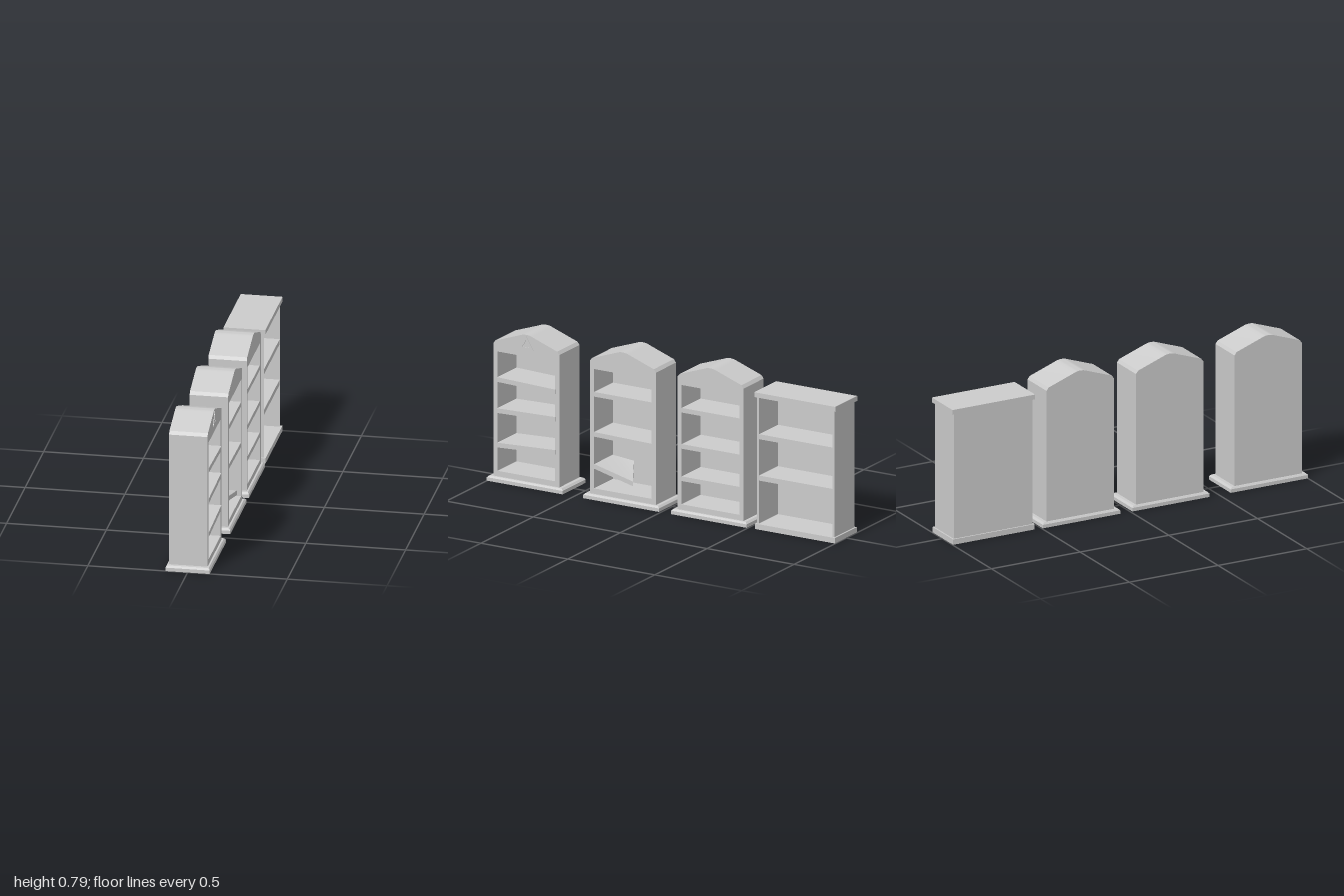
import * as THREE from 'three';
import { toCreasedNormals } from 'three/addons/utils/BufferGeometryUtils.js';

const mat = new THREE.MeshStandardMaterial({ color: 0xcccccc });
const BACK = -0.098, FRONT = 0.095;

function add(parent, name, geometry, x = 0, y = 0, z = 0) {
  const mesh = new THREE.Mesh(geometry, mat);
  mesh.name = name;
  mesh.position.set(x, y, z);
  parent.add(mesh);
  return mesh;
}

// Moves every vertex by a rule and refreshes the normals
function reshape(geometry, rule) {
  const p = geometry.attributes.position;
  const v = new THREE.Vector3();
  for (let i = 0; i < p.count; i++) {
    rule(v.fromBufferAttribute(p, i));
    p.setXYZ(i, v.x, v.y, v.z);
  }
  geometry.computeVertexNormals();
  return geometry;
}

// Extrudes an upright outline along x, from x0 to x1
function extrudeX(shape, x0, x1) {
  const g = new THREE.ExtrudeGeometry(shape, { depth: x1 - x0, bevelEnabled: false, curveSegments: 8 });
  g.rotateY(Math.PI / 2).translate(x0, 0, 0);
  return toCreasedNormals(g, 0.35);
}

function polygon(points, Type = THREE.Shape) {
  return new Type(points.map(([x, y]) => new THREE.Vector2(x, y)));
}

function rectangle(half, y0, y1, Type) {
  return polygon([[-half, y0], [half, y0], [half, y1], [-half, y1]], Type);
}

// Open-fronted carcass: four-sided frame plus a back panel
function carcass(parent, half, y0, y1, innerHalf, in0, in1) {
  const frame = rectangle(half, y0, y1);
  frame.holes.push(rectangle(innerHalf, in0, in1, THREE.Path));
  add(parent, 'caseFrame', extrudeX(frame, BACK, FRONT));
  add(parent, 'backPanel', new THREE.BoxGeometry(0.012, in1 - in0, innerHalf * 2),
    BACK + 0.006, (in0 + in1) / 2);
}

// Shelf whose underside heights at the +z and -z ends may differ
function shelf(parent, half, yPlus, yMinus, thickness, front) {
  const x0 = BACK + 0.01;
  const g = new THREE.BoxGeometry(front - x0, thickness, half * 2);
  reshape(g, v => { v.y += (yPlus - yMinus) * v.z / (2 * half); });
  add(parent, 'shelf', g, (front + x0) / 2, (yPlus + yMinus + thickness) / 2);
}

// Plinth with a bevelled upper edge
function plinth(parent, halfX, halfZ) {
  add(parent, 'plinth', new THREE.BoxGeometry(halfX * 2, 0.018, halfZ * 2), 0, 0.009);
  const bevel = reshape(new THREE.BoxGeometry(halfX * 2, 0.009, halfZ * 2), v => {
    if (v.y > 0) {
      v.x -= Math.sign(v.x) * 0.007;
      v.z -= Math.sign(v.z) * 0.01;
    }
  });
  add(parent, 'plinthBevel', bevel, 0, 0.0225);
}

// Gable with chamfered eaves and a softly rounded ridge
function pediment(parent) {
  const s = new THREE.Shape();
  s.moveTo(-0.19, 0.695);
  s.lineTo(0.19, 0.695);
  s.lineTo(0.19, 0.711);
  s.lineTo(0.178, 0.727);
  s.lineTo(0.04, 0.776);
  s.quadraticCurveTo(0, 0.794, -0.04, 0.776);
  s.lineTo(-0.178, 0.727);
  s.lineTo(-0.19, 0.711);
  add(parent, 'pediment', extrudeX(s, BACK, FRONT));
}

function gabledBookcase(name, z, shelves, shelfFront = FRONT - 0.001) {
  const g = new THREE.Group();
  g.name = name;
  g.position.z = z;
  plinth(g, 0.111, 0.218);
  carcass(g, 0.19, 0.027, 0.695, 0.166, 0.055, 0.672);
  pediment(g);
  for (const [a, b] of shelves) shelf(g, 0.1665, a, b, 0.024, shelfFront);
  return g;
}

// Snapped plank, resting against one side and twisted towards the back
function brokenPlank() {
  const near = 0.166, x0 = -0.085, x1 = 0.093;
  const g = new THREE.BoxGeometry(1, 0.024, 1);
  return reshape(g, v => {
    const t = v.x + 0.5, u = 0.5 - v.z;
    const run = u * THREE.MathUtils.lerp(0.122, 0.222, t);
    v.x = THREE.MathUtils.lerp(x0, x1, t);
    v.y += 0.168 - run * THREE.MathUtils.lerp(0.09, 0.243, t);
    v.z = near - run;
  });
}

export function createModel() {
  const model = new THREE.Group();
  model.name = 'bookcases';

  // Bookcase with crooked shelves and a triangular ornament
  const crooked = gabledBookcase('crookedBookcase', 0.783,
    [[0.516, 0.506], [0.355, 0.364], [0.177, 0.193]], 0.098);
  const ring = polygon([[-0.042, 0.71], [0.042, 0.71], [0, 0.778]]);
  ring.holes.push(polygon([[-0.023, 0.721], [0.023, 0.721], [0, 0.758]], THREE.Path));
  add(crooked, 'triangleOrnament', extrudeX(ring, FRONT - 0.005, 0.098));
  model.add(crooked);

  // Bookcase with a collapsed shelf
  const broken = gabledBookcase('brokenBookcase', 0.228, [[0.529, 0.529], [0.322, 0.315]]);
  add(broken, 'brokenShelf', brokenPlank());
  model.add(broken);

  // Intact bookcase
  model.add(gabledBookcase('intactBookcase', -0.276,
    [[0.529, 0.529], [0.342, 0.342], [0.175, 0.175]]));

  // Flat-topped wide bookcase
  const wide = new THREE.Group();
  wide.name = 'wideBookcase';
  wide.position.z = -0.767;
  add(wide, 'plinth', new THREE.BoxGeometry(0.21, 0.028, 0.46), 0, 0.014);
  carcass(wide, 0.222, 0.02, 0.69, 0.212, 0.028, 0.683);
  for (const y of [0.464, 0.25]) shelf(wide, 0.2125, y, y, 0.026, FRONT - 0.001);
  add(wide, 'topBoard', new THREE.BoxGeometry(0.21, 0.025, 0.466), 0, 0.694);
  model.add(wide);

  return model;
}
